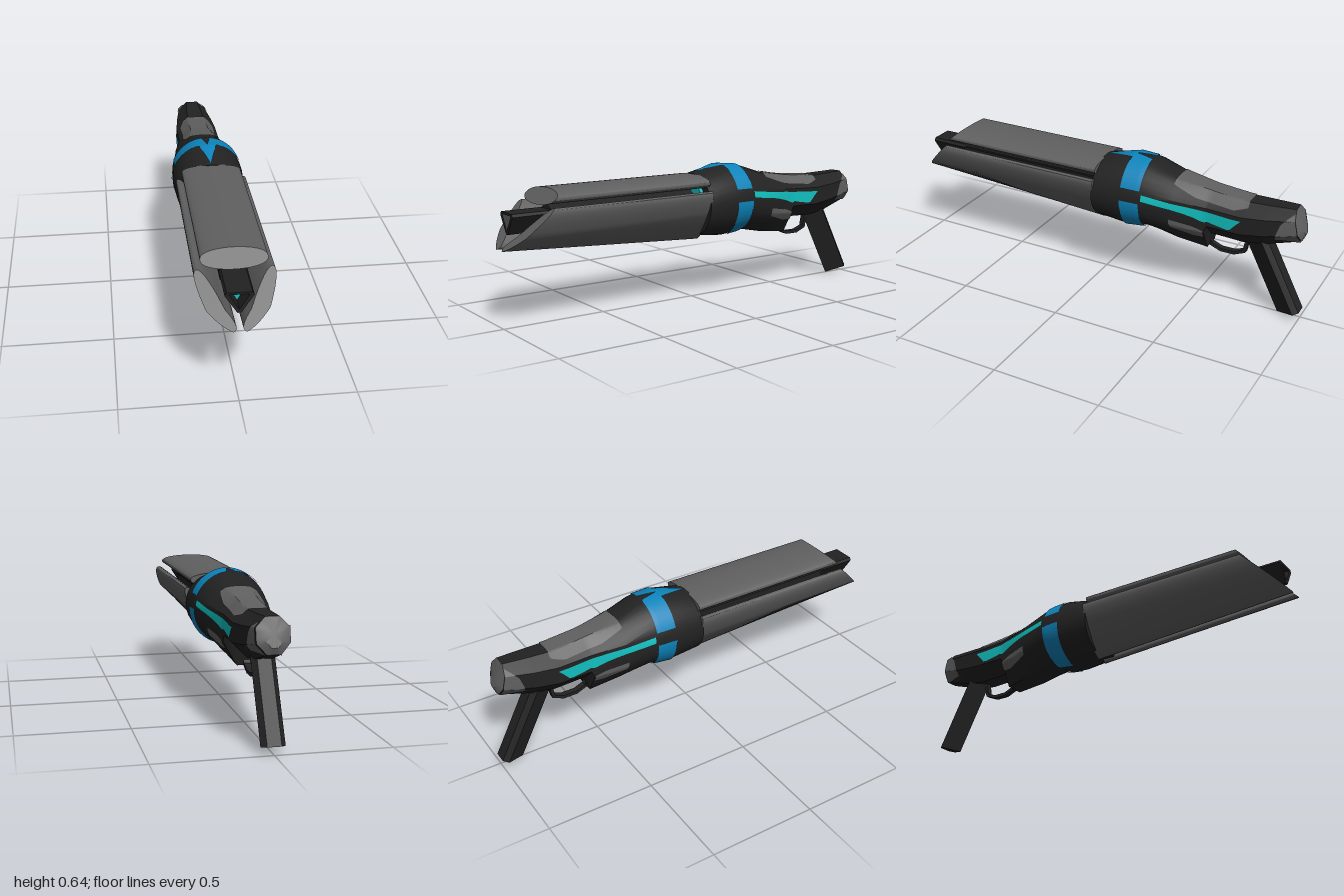
import * as THREE from 'three';
import { toCreasedNormals } from 'three/addons/utils/BufferGeometryUtils.js';

const mat = (color) => new THREE.MeshStandardMaterial({ color });
const black = mat(0x222222), grey = mat(0x606060), blue = mat(0x0d84bb), cyan = mat(0x12c0c0);
const rad = THREE.MathUtils.degToRad, lerp = THREE.MathUtils.lerp;

// Skins rings of [x, y, z] points; closed skins get end caps
function loft(rings, closed = true) {
  const n = rings[0].length, pos = rings.flat(), idx = [];
  for (let i = 0; i < rings.length - 1; i++) {
    for (let j = 0; j < (closed ? n : n - 1); j++) {
      const k = (j + 1) % n, a = i * n + j, b = i * n + k;
      idx.push(a, b, a + n, b, b + n, a + n);
    }
  }
  if (closed) {
    [0, rings.length - 1].forEach((r, end) => {
      const c = pos.length;
      pos.push([0, 1, 2].map((q) => rings[r].reduce((s, p) => s + p[q], 0) / n));
      for (let j = 0; j < n; j++) {
        const a = r * n + j, b = r * n + (j + 1) % n;
        end ? idx.push(c, a, b) : idx.push(c, b, a);
      }
    });
  }
  const g = new THREE.BufferGeometry();
  g.setAttribute('position', new THREE.Float32BufferAttribute(pos.flat(), 3));
  g.setIndex(idx);
  return toCreasedNormals(g, 0.5);
}

// Linear interpolation in a table of rows whose first entry is an ascending z
function rowAt(rows, z) {
  let i = 0;
  while (i < rows.length - 2 && z > rows[i + 1][0]) i++;
  const a = rows[i], b = rows[i + 1], t = (z - a[0]) / (b[0] - a[0]);
  return a.map((v, k) => lerp(v, b[k], t));
}

// Body stations: z, centre y, half width, height above, height below, octagon amount, end slant
const stations = [
  [-0.965, 0.48, 0.07, 0.07, 0.078, 1, 0.018],
  [-0.83, 0.46, 0.092, 0.085, 0.105, 1, 0],
  [-0.72, 0.45, 0.104, 0.092, 0.112, 1, 0],
  [-0.562, 0.45, 0.104, 0.106, 0.106, 1, 0],
  [-0.548, 0.45, 0.106, 0.108, 0.182, 1, 0],
  [-0.4, 0.46, 0.14, 0.125, 0.178, 0.5, 0],
  [-0.26, 0.465, 0.165, 0.168, 0.155, 0, 0],
  [-0.23, 0.465, 0.168, 0.172, 0.165, 0, 0],
  [-0.15, 0.465, 0.172, 0.175, 0.175, 0, 0],
  [0, 0.46, 0.163, 0.146, 0.155, 0, 0],
];

function bodyPoint(theta, z, off = 0) {
  const [, cy, rx, up, down, oct, slant] = rowAt(stations, z);
  const q = Math.PI / 4;
  const m = (((theta + q / 2) % q) + q) % q - q / 2;
  const f = 1 + oct * (1 / Math.cos(m) - 1);
  const c = Math.cos(theta), s = Math.sin(theta);
  return [c * (rx * f + off), cy + s * ((s > 0 ? up : down) * f + off), z + slant * s];
}

const bodyRing = (z) => Array.from({ length: 32 }, (_, j) => bodyPoint(j * Math.PI / 16, z));

// Coloured panel lying on the body; rows are z, low angle, high angle
function panelGeometry(rows) {
  const z0 = rows[0][0], z1 = rows[rows.length - 1][0], rings = [];
  for (let i = 0; i <= 30; i++) {
    const z = lerp(z0, z1, i / 30), [, lo, hi] = rowAt(rows, z);
    rings.push(Array.from({ length: 33 }, (_, j) => bodyPoint(rad(lerp(lo, hi, j / 32)), z, 0.004)));
  }
  return loft(rings, false);
}

// Long lens-shaped shroud plate, turned about the barrel axis and cut by a sloping plane
function plateGeometry(angle) {
  const n = 40, c = Math.cos(angle), s = Math.sin(angle), top = angle === 0;
  const ring = (front) => Array.from({ length: n }, (_, j) => {
    const t = j / n * Math.PI * 2;
    const u = 0.14 * Math.cos(t);
    const v = 0.105 + 0.033 * Math.sign(Math.sin(t)) * Math.abs(Math.sin(t)) ** 0.85;
    const x = u * c - v * s;
    let y = 0.465 + u * s + v * c;
    if (front && !top) y += 0.06 * THREE.MathUtils.clamp((0.415 - y) / 0.12, 0, 1);
    return [x, y, front ? (top ? 1.375 : 1.358) - y : -0.01];
  });
  return loft([ring(false), ring(true)]);
}

function shapeOf(points) {
  return new THREE.Shape(points.map(([x, y]) => new THREE.Vector2(x, y)));
}

export function createModel() {
  const model = new THREE.Group();
  const add = (name, geometry, material) => {
    const m = new THREE.Mesh(geometry, material);
    m.name = name;
    model.add(m);
    return m;
  };
  const panel = (name, material, rows, mirrored = true) => {
    add(name, panelGeometry(rows), material);
    if (mirrored) add(name + 'Right', panelGeometry(rows.map(([z, lo, hi]) => [z, 180 - hi, 180 - lo])), material);
  };

  // Receiver body and its blunt rear end
  add('body', loft(stations.map((s) => bodyRing(s[0]))), black);
  const rear = bodyRing(-0.965);
  add('rearCap', loft([rear.map(([x, y, z]) => [x * 0.5, 0.476 + (y - 0.476) * 0.6, z - 0.012]), rear]), grey);

  // Blue collar with a pointed mark on top
  panel('upperCollar', blue, [[-0.25, 22, 83], [-0.16, 22, 90], [-0.155, 22, 90]]);
  panel('lowerCollar', blue, [[-0.25, -80, 2], [-0.155, -80, 2]]);
  panel('collarPoint', blue, [[-0.156, 76, 104], [-0.005, 89.9, 90.1]], false);

  // Side glow strips and grey inlays
  panel('sideStrip', cyan, [[-0.72, 10, 12], [-0.67, -18, 12], [-0.6, -13, 14], [-0.5, -3, 16], [-0.4, 3, 16], [-0.26, 7, 17]]);
  panel('topInlay', grey, [[-0.74, 50, 130], [-0.68, 35, 145], [-0.5, 40, 140], [-0.39, 55, 125]], false);
  panel('lowerInlay', grey, [[-0.548, -36, -21], [-0.5, -38, -17], [-0.39, -28, -14]]);
  panel('rearInlay', grey, [[-0.964, -70, 50], [-0.9, -48, 12], [-0.87, -42, -28]]);

  // Three shroud plates around the barrel
  const third = Math.PI * 2 / 3;
  add('topPlate', plateGeometry(0), grey);
  add('lowerPlateRight', plateGeometry(third), grey);
  add('lowerPlateLeft', plateGeometry(-third), grey);

  // Hollow triangular barrel on a six-sided core
  const muzzle = shapeOf([[-0.052, 0.51], [-0.06, 0.497], [-0.008, 0.415], [0.008, 0.415], [0.06, 0.497], [0.052, 0.51]]);
  const bore = [[-0.041, 0.5], [0.041, 0.5], [0, 0.43]];
  muzzle.holes.push(new THREE.Path(bore.map(([x, y]) => new THREE.Vector2(x, y))));
  add('barrel', new THREE.ExtrudeGeometry(muzzle, { depth: 0.97, bevelEnabled: false }), black);
  add('boreGlow', new THREE.ExtrudeGeometry(shapeOf(bore), { depth: 0.9, bevelEnabled: false }), cyan);
  const core = shapeOf([[0, 0.535], [-0.058, 0.505], [-0.055, 0.455], [-0.04, 0.445], [-0.04, 0.5], [0.04, 0.5], [0.04, 0.445], [0.055, 0.455], [0.058, 0.505]]);
  add('barrelRoof', new THREE.ExtrudeGeometry(core, { depth: 0.78, bevelEnabled: false }), black);

  // Glowing disc and lower block at the front of the body
  const disc = add('frontGlow', new THREE.CylinderGeometry(0.11, 0.11, 0.02, 24), cyan);
  disc.rotation.x = Math.PI / 2;
  disc.position.set(0, 0.475, 0.008);
  const block = add('frontBlock', new THREE.BoxGeometry(0.032, 0.06, 0.06), black);
  block.position.set(0, 0.335, 0.02);

  // Raked pistol grip with a ridge along its front
  const foot = [[0.052, 0.03, -0.978], [0.03, 0.035, -1], [-0.03, 0.035, -1], [-0.052, 0.03, -0.978], [0, 0, -0.89]];
  add('grip', loft([foot, foot.map(([x, y, z]) => [x, y + 0.37, z + 0.19])]), black);

  // Trigger guard
  const guard = [[0.3, -0.54], [0.272, -0.552], [0.252, -0.6], [0.252, -0.665], [0.272, -0.715], [0.35, -0.73]];
  const rings = guard.map(([y, z], i) => {
    const a = guard[Math.max(i - 1, 0)], b = guard[Math.min(i + 1, guard.length - 1)];
    const d = new THREE.Vector2(b[1] - a[1], b[0] - a[0]).normalize().multiplyScalar(0.008);
    return [[1, 1], [-1, 1], [-1, -1], [1, -1]].map(([sx, sn]) => [sx * 0.014, y - sn * d.x, z + sn * d.y]);
  });
  add('triggerGuard', loft(rings.reverse()), black).material = Object.assign(mat(0x222222), { side: THREE.DoubleSide });

  return model;
}
